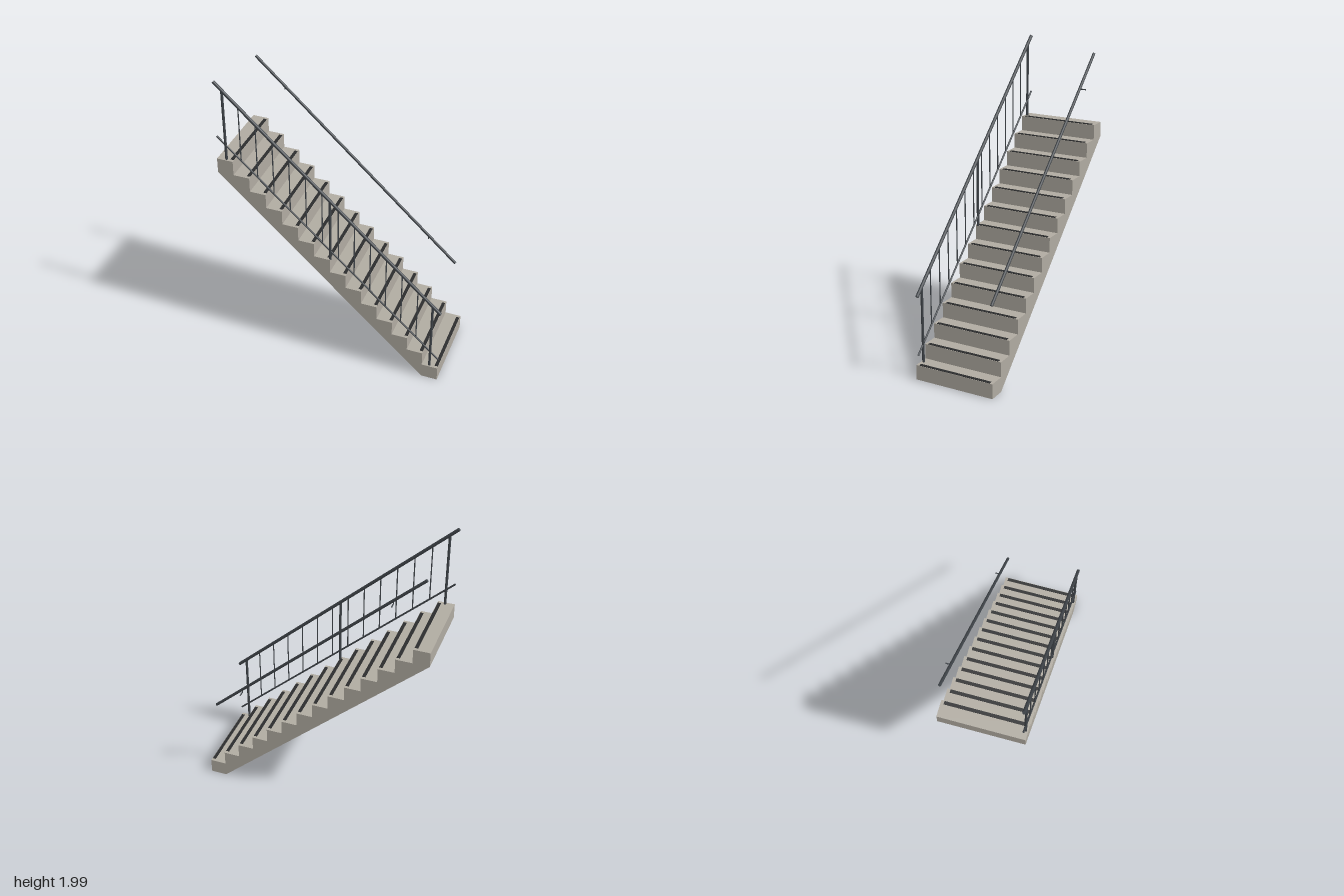
import * as THREE from 'three';

const STEPS = 14, RISE = 0.102, RUN = 1.53 / STEPS, HALF = 0.765, WIDTH = 0.558;
const SLOPE = RISE / RUN;
const RAIL_Z = 0.263, WALL_RAIL_Z = -0.243;

const concrete = new THREE.MeshStandardMaterial({ color: 0xb0aba1 });
concrete.name = 'concrete';
const steel = new THREE.MeshStandardMaterial({ color: 0x40454a });
steel.name = 'dark steel';
const rubber = new THREE.MeshStandardMaterial({ color: 0x2b2c2d });
rubber.name = 'nosing rubber';

// Round bar between two points
function bar(name, a, b, radius, sides = 12) {
  const from = new THREE.Vector3(...a), to = new THREE.Vector3(...b);
  const dir = to.clone().sub(from);
  const mesh = new THREE.Mesh(new THREE.CylinderGeometry(radius, radius, dir.length(), sides), steel);
  mesh.position.copy(from).add(to).multiplyScalar(0.5);
  mesh.quaternion.setFromUnitVectors(new THREE.Vector3(0, 1, 0), dir.normalize());
  mesh.name = name;
  return mesh;
}

// Heights of the sloping rails at x
const topRailY = x => 1.277 - 0.93 * x;
const lowRailY = x => 0.88 - 0.93 * x;
const wallRailY = x => 1.253 - 0.93 * x;

function slopingRail(name, heightAt, halfLength, z, radius) {
  return bar(name, [-halfLength, heightAt(-halfLength), z], [halfLength, heightAt(halfLength), z], radius);
}

// Sawtooth side profile with a sloping underside
function createFlight() {
  const s = new THREE.Shape();
  s.moveTo(HALF - RUN, 0);
  s.lineTo(HALF, 0);
  for (let i = 0; i < STEPS; i++) {
    s.lineTo(HALF - i * RUN, (i + 1) * RISE);
    s.lineTo(HALF - (i + 1) * RUN, (i + 1) * RISE);
  }
  s.lineTo(-HALF, (STEPS - 1) * RUN * SLOPE);
  s.closePath();
  const geo = new THREE.ExtrudeGeometry(s, { depth: WIDTH, bevelEnabled: false });
  geo.translate(0, 0, -WIDTH / 2);
  const mesh = new THREE.Mesh(geo, concrete);
  mesh.name = 'stairFlight';
  return mesh;
}

export function createModel() {
  const model = new THREE.Group();
  model.name = 'staircase';
  model.add(createFlight());

  // Anti-slip strips on the tread edges
  const strips = new THREE.Group();
  strips.name = 'nosingStrips';
  const stripGeo = new THREE.BoxGeometry(0.022, 0.005, 0.516);
  for (let i = 0; i < STEPS; i++) {
    const strip = new THREE.Mesh(stripGeo, rubber);
    strip.name = 'nosingStrip';
    strip.position.set(HALF - i * RUN - 0.0135, (i + 1) * RISE, 0);
    strips.add(strip);
  }
  model.add(strips);

  // Open-side balustrade
  const balustrade = new THREE.Group();
  balustrade.name = 'balustrade';
  balustrade.add(slopingRail('handrail', topRailY, 0.759, RAIL_Z, 0.011));
  balustrade.add(slopingRail('lowerRail', lowRailY, 0.762, RAIL_Z, 0.006));
  [[-0.705, STEPS * RISE], [-0.002, 8 * RISE], [0.704, RISE]].forEach(([x, foot]) =>
    balustrade.add(bar('post', [x, foot - 0.005, RAIL_Z], [x, topRailY(x), RAIL_Z], 0.0085)));
  for (let i = 0; i < 12; i++) {
    const x = -0.602 + i * RUN;
    balustrade.add(bar('baluster', [x, lowRailY(x), RAIL_Z], [x, topRailY(x), RAIL_Z], 0.004, 8));
  }
  model.add(balustrade);

  // Wall-side handrail on two angled brackets
  const wallRail = new THREE.Group();
  wallRail.name = 'wallHandrail';
  wallRail.add(slopingRail('wallRail', wallRailY, 0.707, WALL_RAIL_Z, 0.0095));
  for (const x of [-0.51, 0.51]) {
    const y = wallRailY(x), armY = y - 0.024;
    wallRail.add(bar('bracketStem', [x, armY - 0.003, WALL_RAIL_Z], [x, y, WALL_RAIL_Z], 0.004, 8));
    wallRail.add(bar('bracketArm', [x, armY, WALL_RAIL_Z], [x, armY, -WIDTH / 2], 0.004, 8));
  }
  model.add(wallRail);
  return model;
}
